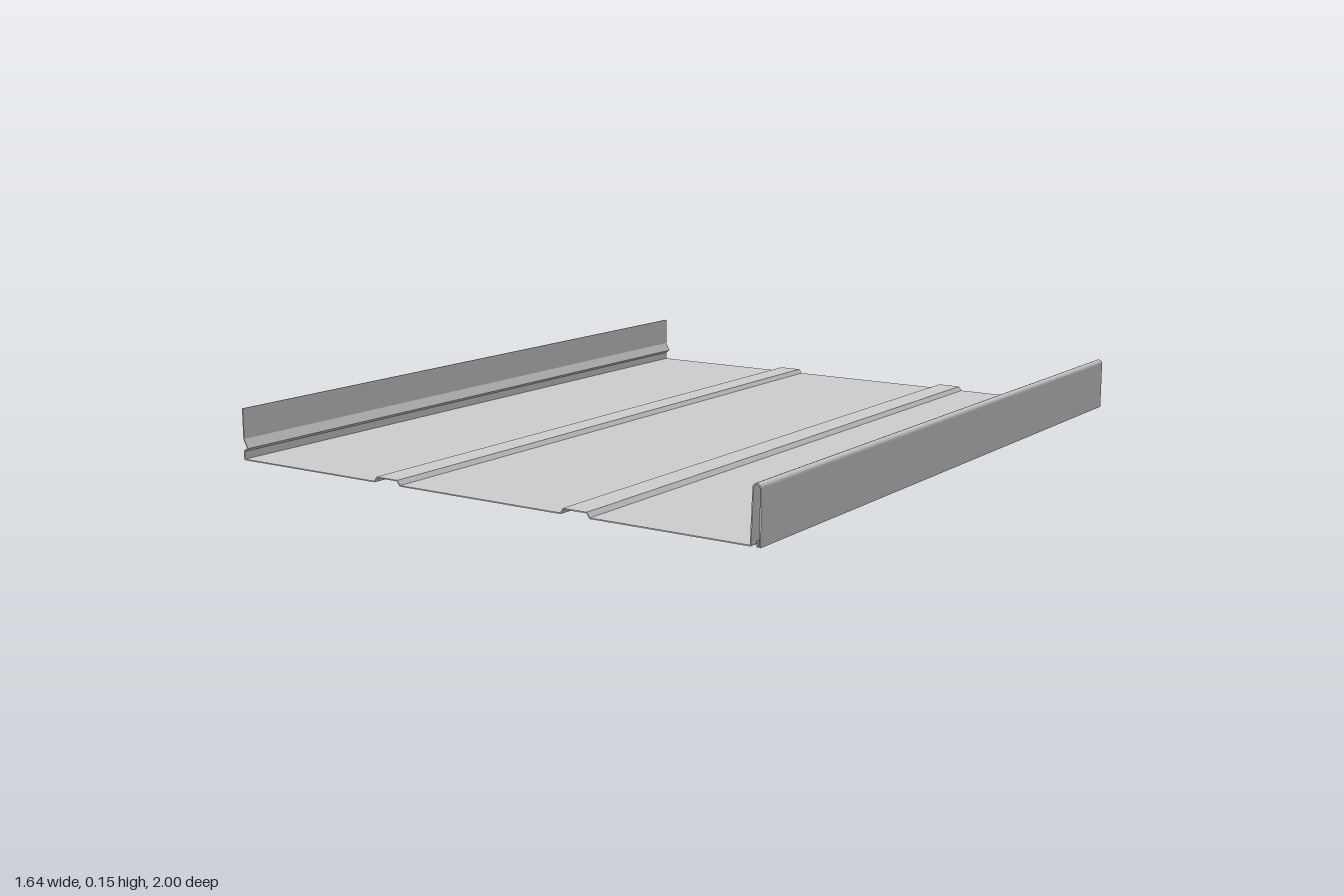
import * as THREE from 'three';

const LENGTH = 2, THICK = 0.003;

// Thickens an open centre line into a closed strip with mitred corners and extrudes it along z.
function sheet(name, points, material) {
  const p = points.map(([x, y]) => new THREE.Vector2(x, y));
  const left = [], right = [];
  const normal = (a, b) => new THREE.Vector2(a.y - b.y, b.x - a.x).normalize();
  p.forEach((q, i) => {
    const n0 = normal(p[Math.max(i - 1, 0)], p[Math.max(i, 1)]);
    const n1 = normal(p[Math.min(i, p.length - 2)], p[Math.min(i + 1, p.length - 1)]);
    const m = n0.clone().add(n1).normalize();
    m.multiplyScalar(THICK / 2 / Math.max(m.dot(n1), 0.5));
    left.push(q.clone().add(m));
    right.unshift(q.clone().sub(m));
  });
  const geometry = new THREE.ExtrudeGeometry(new THREE.Shape([...left, ...right]), {
    depth: LENGTH, bevelEnabled: false, steps: 1,
  });
  geometry.translate(0, 0, -LENGTH / 2);
  const mesh = new THREE.Mesh(geometry, material);
  mesh.name = name;
  return mesh;
}

export function createModel() {
  const group = new THREE.Group();
  group.name = 'standingSeamPanel';
  const material = new THREE.MeshStandardMaterial({ color: 0xcccccc });
  const y0 = THICK / 2;

  // Flat pan with two shallow stiffening ribs
  const pan = [[-0.817, y0]];
  for (const x of [-0.3, 0.3]) {
    pan.push([x - 0.044, y0], [x - 0.035, 0.014], [x + 0.035, 0.014], [x + 0.044, y0]);
  }
  pan.push([0.791, y0]);
  group.add(sheet('pan', pan, material));

  // Upright edge with an inward locking crease
  group.add(sheet('creasedLeg', [
    [-0.817, y0], [-0.817, 0.025], [-0.804, 0.034], [-0.817, 0.058], [-0.817, 0.142],
  ], material));

  // Folded seam: leaning inner wall, rounded crown, outer wall and hemmed lip
  const seam = [[0.791, y0]];
  const cx = 0.8068, r = 0.0097;
  for (let i = 0; i <= 8; i++) {
    const a = Math.PI * (1 - i / 8);
    seam.push([cx + r * Math.cos(a), 0.136 + r * Math.sin(a)]);
  }
  seam.push([cx + r, y0], [cx + r - 0.008, y0], [cx + r - 0.008, 0.016]);
  group.add(sheet('foldedSeam', seam, material));

  return group;
}
